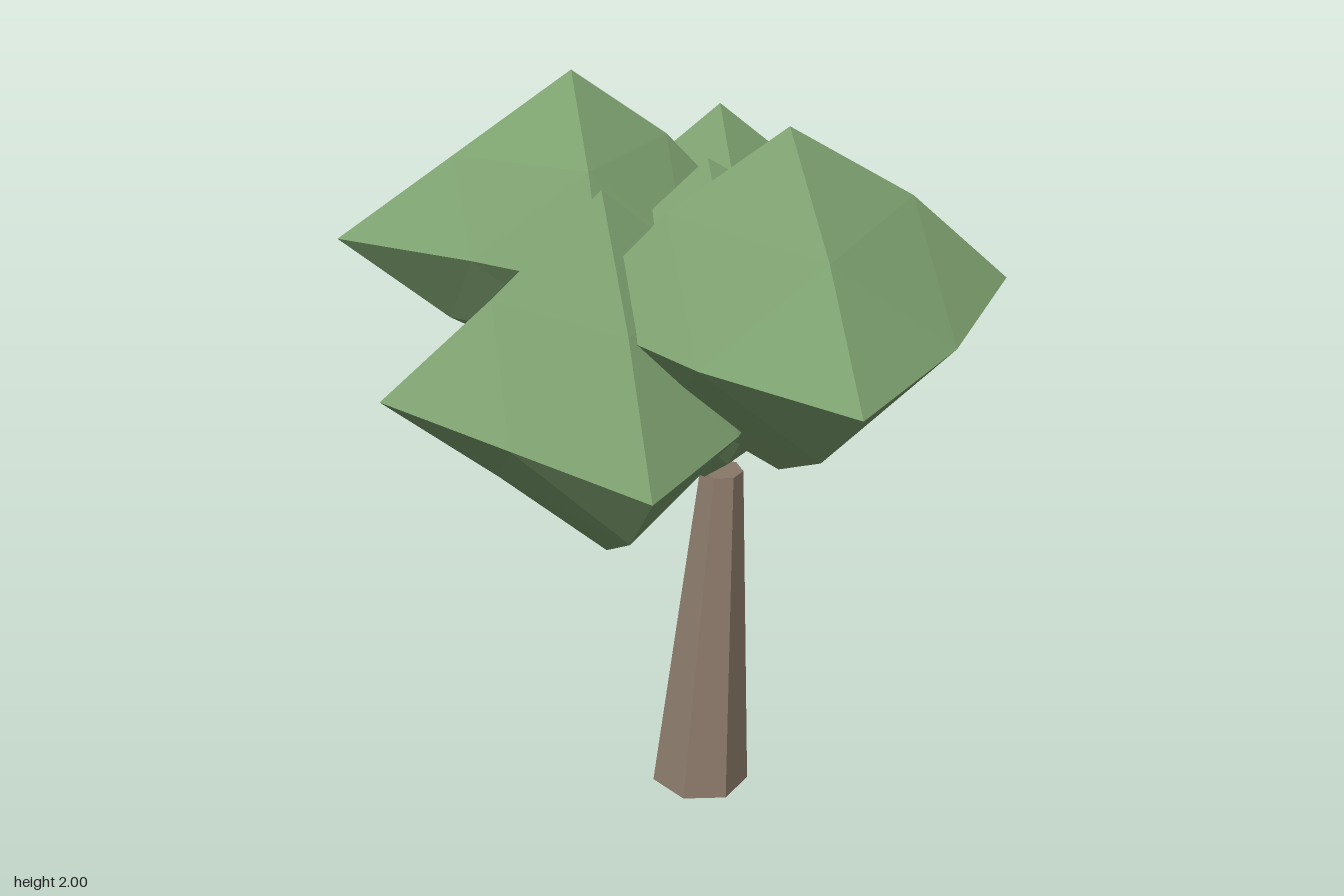
import * as THREE from 'three';

const leafMaterial = new THREE.MeshStandardMaterial({ color: 0x7da06f, flatShading: true });
const barkMaterial = new THREE.MeshStandardMaterial({ color: 0x8b7a6a, flatShading: true });

// reach: tip distances [+x, -x, +y, -y, +z, -z]
// bulge: how far an edge's middle is pushed out (0.5 = straight edge), keyed by signs of x, y, z
const clumps = [
  { name: 'frontLeftUpperFoliage', at: [0.22, 1.6, 0.34], reach: [0.53, 0.5, 0.4, 0.45, 0.63, 0.53],
    bulge: { '+-0': 0.5, '0+-': 0.58, '0+-+': 0.52, '0--': 0.5 } },
  { name: 'backRightUpperFoliage', at: [-0.175, 1.6, -0.2], reach: [0.42, 0.58, 0.385, 0.42, 0.42, 0.59],
    bulge: { '-+0': 0.5, '-0-': 0.5, '-0+': 0.48, '+0-': 0.52, '0+-': 0.53 } },
  { name: 'frontRightLowerFoliage', at: [-0.175, 1.355, 0.21], reach: [0.45, 0.525, 0.48, 0.46, 0.59, 0.5],
    bulge: { '-+0': 0.49, '--0': 0.49, '-0+': 0.5, '+-0': 0.53 } },
  { name: 'backLeftLowerFoliage', at: [0.22, 1.355, -0.33], reach: [0.46, 0.5, 0.48, 0.385, 0.42, 0.64],
    bulge: { '+0-': 0.5, '0+-': 0.51, '0--': 0.54, '+0+': 0.61, '0-+': 0.57 } },
  { name: 'middleFoliage', at: [0.115, 1.355, 0], reach: [0.59, 0.42, 0.46, 0.4, 0.48, 0.48],
    bulge: { '+-0': 0.5 } },
];

// A once-subdivided octahedron with uneven tips and edge middles
function makeClump({ name, at, reach, bulge }) {
  const geometry = new THREE.OctahedronGeometry(1, 1);
  const position = geometry.attributes.position;
  for (let i = 0; i < position.count; i++) {
    const signs = [position.getX(i), position.getY(i), position.getZ(i)]
      .map((v) => (Math.abs(v) < 0.1 ? 0 : Math.sign(v)));
    const isTip = signs.filter((s) => s !== 0).length === 1;
    const key = signs.map((s) => (s > 0 ? '+' : s < 0 ? '-' : '0')).join('');
    const k = isTip ? 1 : bulge[key] ?? 0.55;
    const p = signs.map((s, axis) => s * k * reach[axis * 2 + (s < 0 ? 1 : 0)]);
    position.setXYZ(i, p[0], p[1], p[2]);
  }
  geometry.computeVertexNormals();
  const mesh = new THREE.Mesh(geometry, leafMaterial);
  mesh.name = name;
  mesh.position.set(...at);
  return mesh;
}

export function createModel() {
  const tree = new THREE.Group();
  tree.name = 'tree';

  // Leaning, tapered seven-sided trunk
  const trunk = new THREE.Mesh(
    new THREE.CylinderGeometry(0.058, 0.135, 0.955, 7, 1, false, 1.257), barkMaterial);
  trunk.name = 'trunk';
  trunk.rotation.set(-0.016, 0, -0.054);
  trunk.position.set(0.138, 0.489, -0.007);
  tree.add(trunk);

  // Crown of overlapping leaf clumps
  const crown = new THREE.Group();
  crown.name = 'crown';
  for (const clump of clumps) crown.add(makeClump(clump));
  tree.add(crown);

  return tree;
}
